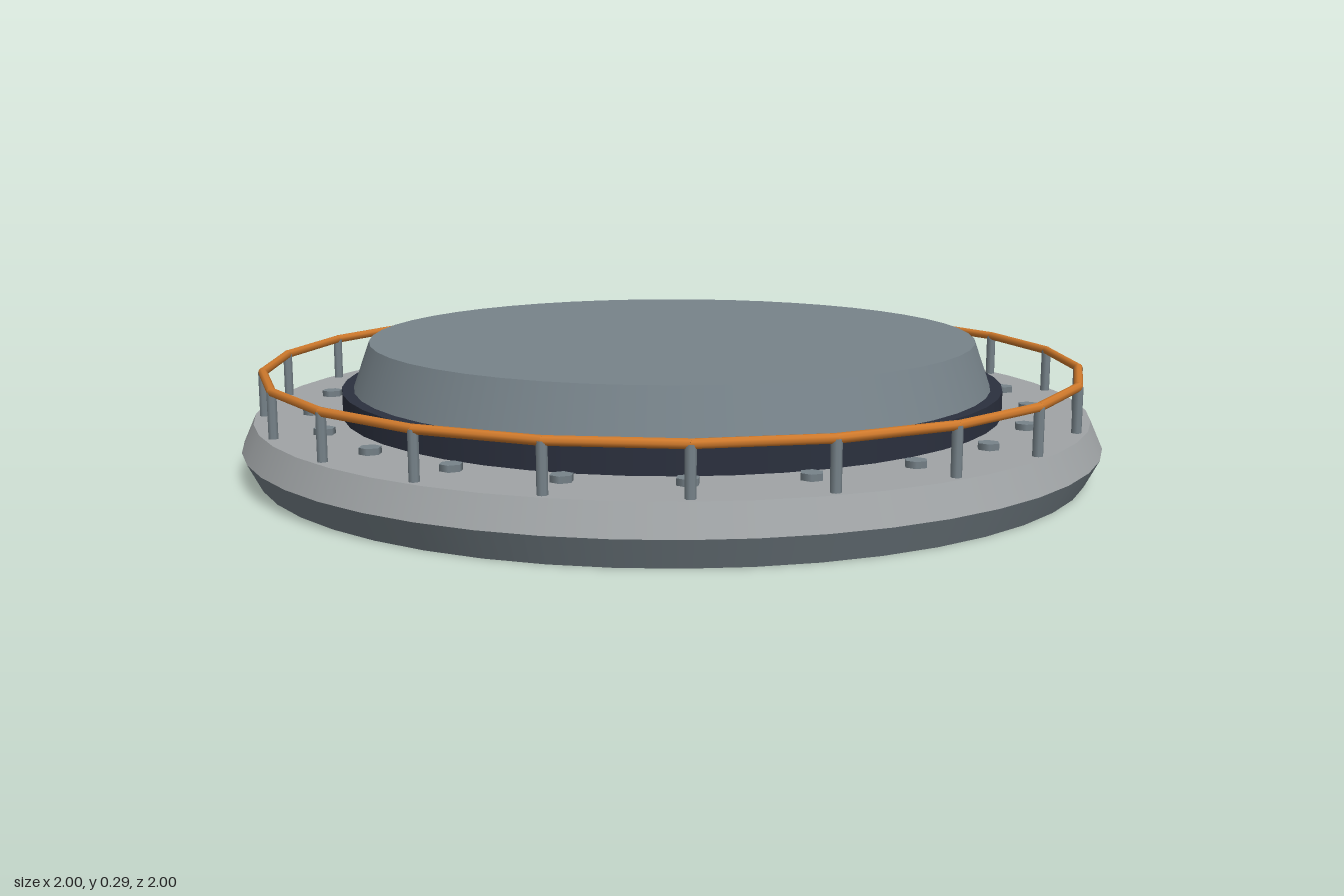
import * as THREE from 'three';

const mat = (name, color) => Object.assign(new THREE.MeshStandardMaterial({ color }), { name });

export function createModel() {
  const group = new THREE.Group();
  const steel = mat('blue grey steel', 0x77838a);
  const plate = mat('light grey plate', 0xa0a4a6);
  const dark = mat('dark seal', 0x2b303e);
  const orange = mat('orange rail', 0xd07a2c);

  const add = (name, geometry, material, x = 0, y = 0, z = 0) => {
    const mesh = new THREE.Mesh(geometry, material);
    mesh.name = name;
    mesh.position.set(x, y, z);
    group.add(mesh);
    return mesh;
  };
  const disc = (name, material, rBottom, rTop, y0, y1) =>
    add(name, new THREE.CylinderGeometry(rTop, rBottom, y1 - y0, 48), material, 0, (y0 + y1) / 2);

  // Stacked round body: bevelled base, deck, seal ring and raised lid
  disc('base', steel, 0.968, 1, 0, 0.062);
  disc('deck', plate, 1, 0.972, 0.062, 0.125);
  disc('sealRing', dark, 0.775, 0.775, 0.125, 0.183);
  disc('lid', steel, 0.748, 0.71, 0.183, 0.29);

  // Bolts, railing posts and straight rail sections around the deck
  const count = 22, railRadius = 0.95, railY = 0.226;
  const boltGeometry = new THREE.CylinderGeometry(0.024, 0.024, 0.014, 6);
  const postGeometry = new THREE.CylinderGeometry(0.011, 0.011, 0.101, 8);
  const point = (r, y, i) => {
    const a = (i / count) * Math.PI * 2;
    return new THREE.Vector3(r * Math.cos(a), y, r * Math.sin(a));
  };
  const railLength = 2 * railRadius * Math.sin(Math.PI / count) + 0.003;
  const railGeometry = new THREE.CylinderGeometry(0.01, 0.01, railLength, 8);
  const up = new THREE.Vector3(0, 1, 0);

  for (let i = 0; i < count; i++) {
    const b = point(0.84, 0.132, i), p = point(railRadius, 0.1755, i);
    add('bolt', boltGeometry, steel, b.x, b.y, b.z);
    add('railPost', postGeometry, steel, p.x, p.y, p.z);

    const start = point(railRadius, railY, i), end = point(railRadius, railY, i + 1);
    const mid = start.clone().add(end).multiplyScalar(0.5);
    const rail = add('handrail', railGeometry, orange, mid.x, mid.y, mid.z);
    rail.quaternion.setFromUnitVectors(up, end.sub(start).normalize());
  }
  return group;
}
